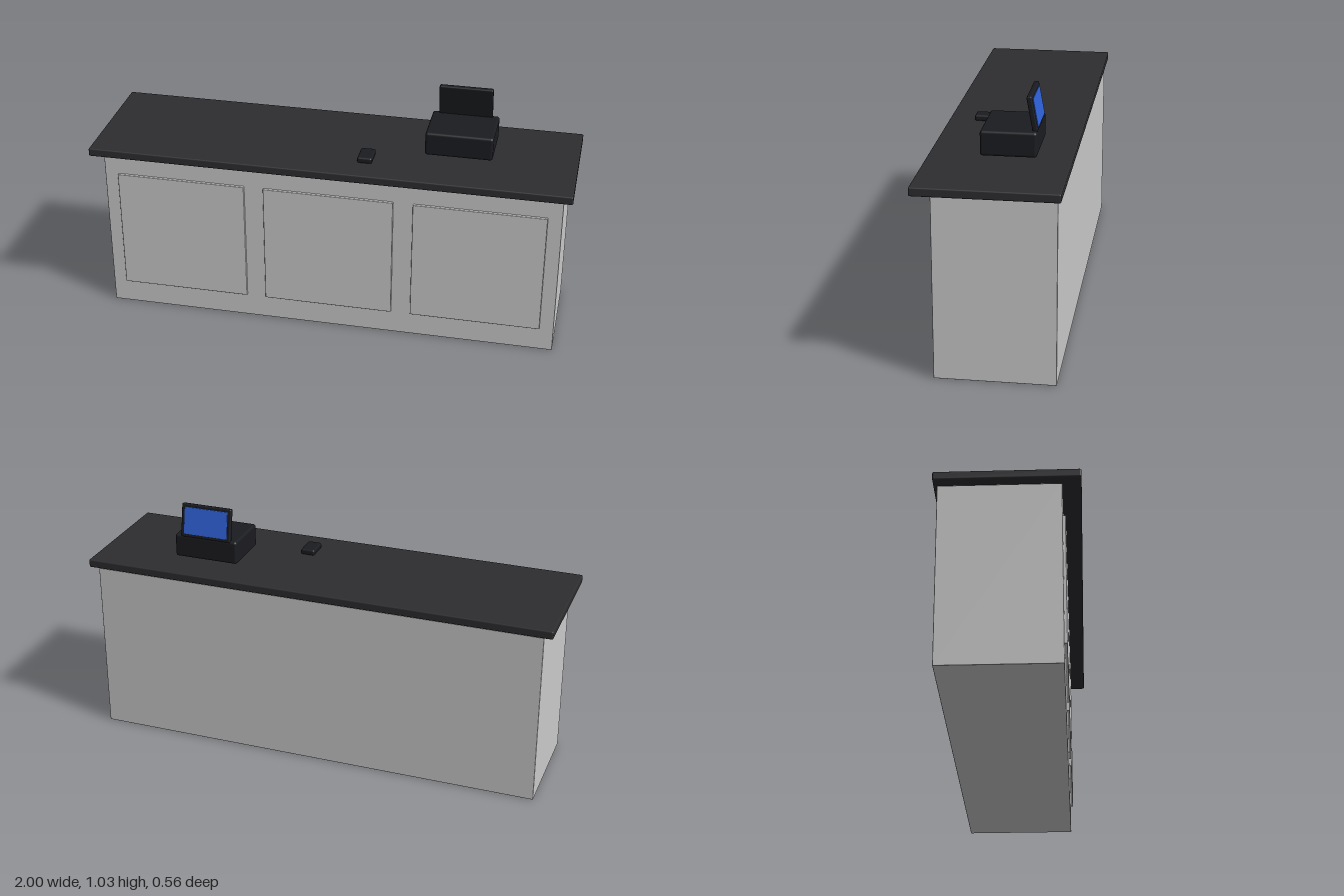
import * as THREE from 'three';
import { RoundedBoxGeometry } from 'three/addons/geometries/RoundedBoxGeometry.js';

const material = (color) => new THREE.MeshStandardMaterial({ color });

export function createModel() {
  const group = new THREE.Group();
  const grey = material(0xcccccc);
  const topDark = material(0x2d2d30);
  const black = material(0x1b1c20);
  const blue = material(0x2f62d9);

  // Softly rounded box given by its size and centre
  function block(name, mat, size, centre, radius, parent = group) {
    const mesh = new THREE.Mesh(new RoundedBoxGeometry(...size, 3, radius), mat);
    mesh.name = name;
    mesh.position.set(...centre);
    parent.add(mesh);
    return mesh;
  }

  // Cabinet and worktop
  block('cabinet', grey, [1.925, 0.742, 0.472], [0, 0.371, -0.029], 0.003);
  block('countertop', topDark, [2, 0.035, 0.56], [0, 0.7645, 0], 0.006);

  // Three raised panels on the front
  for (const i of [-1, 0, 1]) {
    block('frontPanel', grey, [0.548, 0.533, 0.024], [i * 0.63, 0.371, 0.206], 0.003);
  }

  // Cash register base and card reader
  block('registerBase', black, [0.279, 0.1, 0.22], [0.516, 0.846, -0.037], 0.011);
  block('cardReader', black, [0.061, 0.025, 0.095], [0.145, 0.794, 0.125], 0.008);

  // Tilted display, its screen facing the clerk at the back
  const display = new THREE.Group();
  display.name = 'display';
  display.position.set(0.516, 0.959, -0.125);
  display.rotation.x = 0.18;
  group.add(display);
  block('displayHousing', black, [0.223, 0.143, 0.021], [0, 0, 0], 0.006, display);
  block('displayScreen', blue, [0.194, 0.116, 0.005], [0, 0, -0.0105], 0.001, display);

  return group;
}
